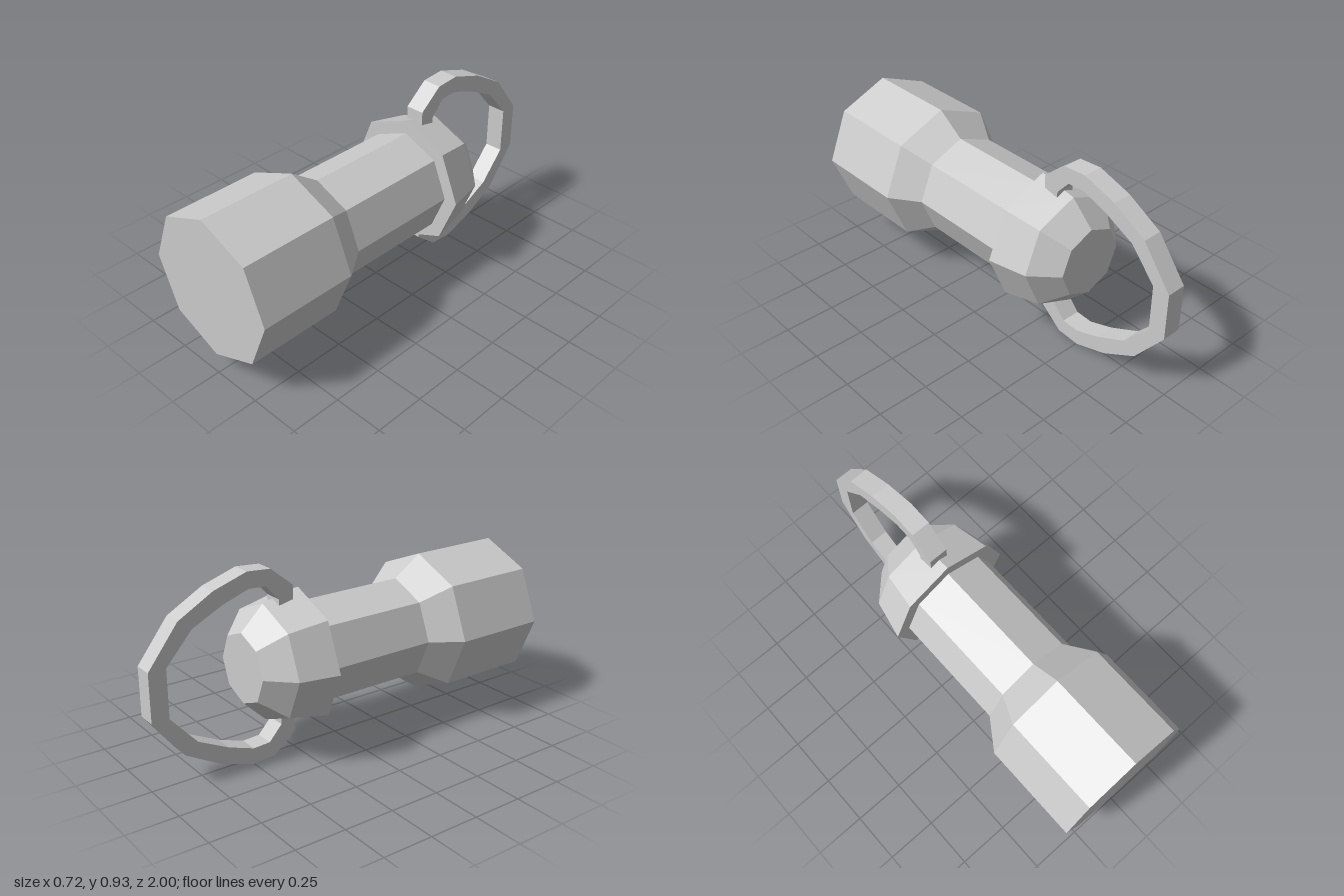
import * as THREE from 'three';

const AXIS_Y = 0.473;
const material = new THREE.MeshStandardMaterial({ color: 0xcccccc, flatShading: true });

// Eight-sided solid turned around the z axis; profile is [radius, z] with z rising
function turned(name, profile) {
  const points = profile.map(([r, z]) => new THREE.Vector2(r, z));
  const geometry = new THREE.LatheGeometry(points, 8);
  geometry.rotateX(Math.PI / 2);
  const mesh = new THREE.Mesh(geometry, material);
  mesh.name = name;
  mesh.position.y = AXIS_Y;
  return mesh;
}

export function createModel() {
  const group = new THREE.Group();
  group.name = 'handleWithRing';

  // Slim grip flaring into the wide front head
  group.add(turned('body', [
    [0, -0.22], [0.257, -0.22], [0.257, 0.372], [0.358, 0.517], [0.358, 1], [0, 1],
  ]));

  // Tapered cap behind the grip
  group.add(turned('endCap', [
    [0, -0.517], [0.172, -0.517], [0.286, -0.4], [0.327, -0.207], [0, -0.207],
  ]));

  // Carrying loop: upper half as [distance behind centre, height above axis], mirrored below
  const outer = [[0.268, 0.265], [0.268, 0.362], [0.385, 0.458], [0.505, 0.467], [0.675, 0.412], [0.85, 0.313], [1, 0.118]];
  const inner = [[0.345, 0.265], [0.345, 0.308], [0.412, 0.382], [0.5, 0.387], [0.63, 0.342], [0.785, 0.265], [0.915, 0.118]];
  const mirrored = (half) => [...half, ...half.map(([u, v]) => [u, -v]).reverse()];
  const outline = [...mirrored(outer), ...mirrored(inner).reverse()];
  const shape = new THREE.Shape(outline.map(([u, v]) => new THREE.Vector2(u, v)));
  const loopGeometry = new THREE.ExtrudeGeometry(shape, { depth: 0.095, bevelEnabled: false });
  loopGeometry.rotateY(Math.PI / 2);
  const loop = new THREE.Mesh(loopGeometry, material);
  loop.name = 'carryLoop';
  loop.position.set(-0.049, AXIS_Y, 0);
  group.add(loop);

  return group;
}
